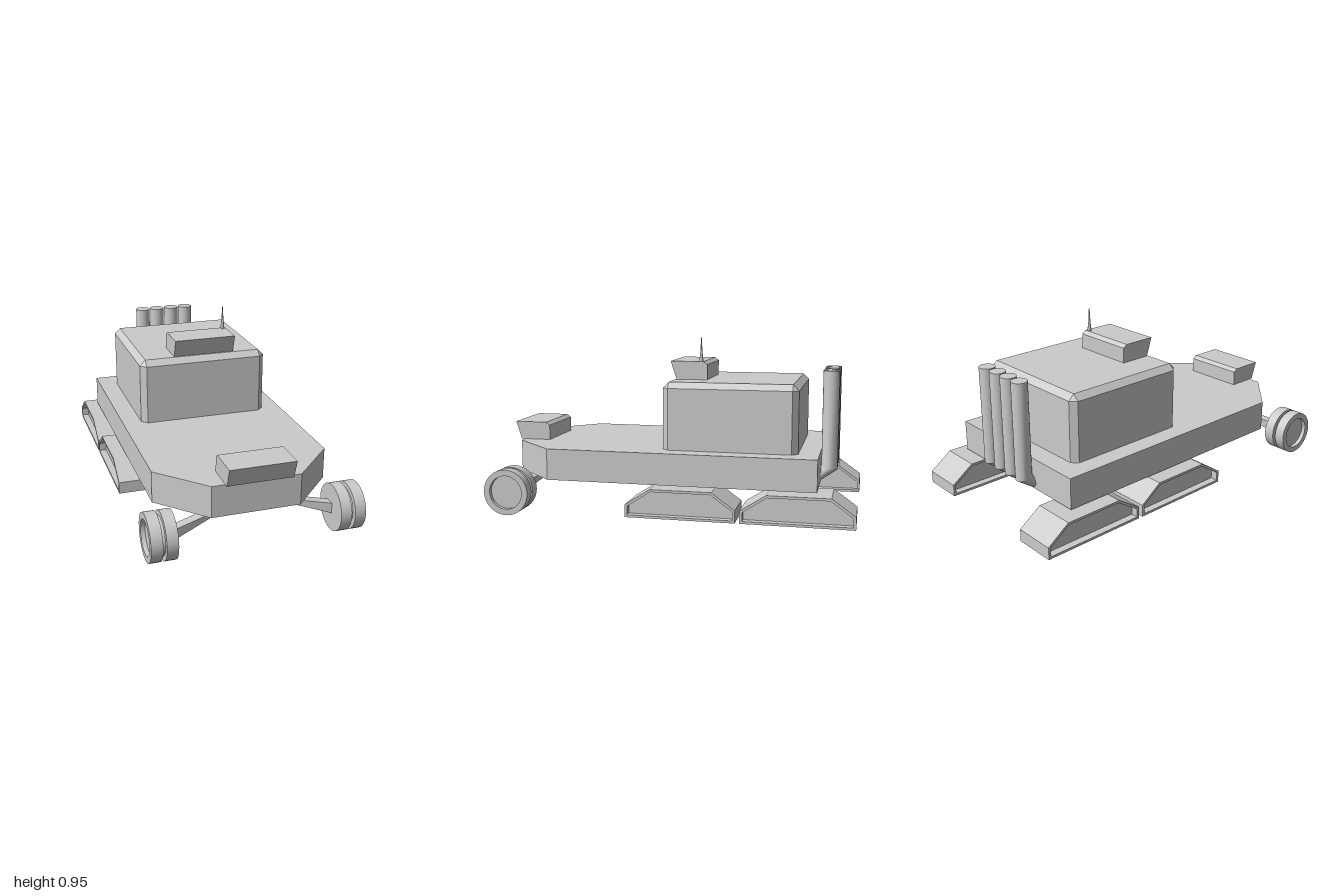
import * as THREE from 'three';
import { toCreasedNormals } from 'three/addons/utils/BufferGeometryUtils.js';

const material = new THREE.MeshStandardMaterial({ color: 0xcccccc, side: THREE.DoubleSide });

function add(parent, name, geometry, x = 0, y = 0, z = 0) {
  const mesh = new THREE.Mesh(geometry, material);
  mesh.name = name;
  mesh.position.set(x, y, z);
  parent.add(mesh);
  return mesh;
}

const shapeOf = pts => new THREE.Shape(pts.map(p => new THREE.Vector2(...p)));

// Side profile of (z, y) points, extruded along x and centred on it
function sideExtrude(pts, width, hole) {
  const shape = shapeOf(pts);
  if (hole) shape.holes.push(shapeOf(hole));
  return new THREE.ExtrudeGeometry(shape, { depth: width, bevelEnabled: false })
    .translate(0, 0, -width / 2).rotateY(-Math.PI / 2);
}

// Skin over equal-length rings of [x, y, z], capped at both ends
function loft(rings, crease = 0.5) {
  const n = rings[0].length, index = [];
  for (let r = 0; r < rings.length - 1; r++) {
    for (let i = 0; i < n; i++) {
      const a = r * n + i, b = r * n + (i + 1) % n;
      index.push(a, b, b + n, a, b + n, a + n);
    }
  }
  const last = (rings.length - 1) * n;
  for (let i = 1; i < n - 1; i++) {
    index.push(0, i + 1, i, last, last + i, last + i + 1);
  }
  const g = new THREE.BufferGeometry();
  g.setAttribute('position', new THREE.Float32BufferAttribute(rings.flat(2), 3));
  g.setIndex(index);
  return toCreasedNormals(g, crease);
}

// Flat deck with a tapered nose
function hull() {
  const outline = [[-0.47, 0.8], [0.47, 0.8], [0.47, -0.65], [0.235, -0.893], [-0.235, -0.893], [-0.47, -0.65]];
  return new THREE.ExtrudeGeometry(shapeOf(outline), { depth: 0.17, bevelEnabled: false })
    .rotateX(-Math.PI / 2);
}

// Box with chamfered upright corners and a chamfered top edge
function cabin() {
  const w = 0.365, z0 = -0.69, z1 = 0.035, c = 0.032;
  const ring = (y, top) => {
    const x = top ? w - c : w, a = top ? z0 + c : z0, b = top ? z1 - c : z1;
    const xi = w - c, ai = z0 + c, bi = z1 - c;
    return [[xi, y, b], [x, y, bi], [x, y, ai], [xi, y, a], [-xi, y, a], [-x, y, ai], [-x, y, bi], [-xi, y, b]];
  };
  return loft([ring(0.36, false), ring(0.692, false), ring(0.724, true)], 0.1);
}

// Track pod: a full-width rim around a recessed core
const podOuter = [[-0.293, 0.025], [0.293, 0.025], [0.293, 0.092], [0.157, 0.18], [-0.17, 0.18], [-0.293, 0.092]];
const podInner = [[-0.279, 0.038], [0.279, 0.038], [0.279, 0.085], [0.152, 0.167], [-0.165, 0.167], [-0.279, 0.085]];

function trackPod() {
  const pod = new THREE.Group();
  pod.name = 'trackPod';
  add(pod, 'trackRim', sideExtrude(podOuter, 0.23, podInner));
  add(pod, 'trackCore', sideExtrude(podInner, 0.15));
  return pod;
}

// Twin wheel with a groove and a dished outer face; outer side along +axis
function wheel() {
  const pts = [[0, -0.068], [0.125, -0.068], [0.125, -0.009], [0.1, -0.009], [0.1, 0.009],
    [0.125, 0.009], [0.125, 0.068], [0.092, 0.068], [0.092, 0.045], [0, 0.045]];
  const g = new THREE.LatheGeometry(pts.map(p => new THREE.Vector2(...p)), 32);
  return toCreasedNormals(g, 0.5).rotateZ(-Math.PI / 2);
}

// Wedge strut that thickens towards the wheel
function arm(side) {
  const section = (x, y0, y1, z) =>
    [[x, y0, z + 0.027], [x, y0, z - 0.027], [x, y1, z - 0.027], [x, y1, z + 0.027]];
  const g = [section(0.115, 0.184, 0.192, 0.775), section(0.44, 0.093, 0.152, 0.868)];
  if (side < 0) {
    g.forEach(ring => { ring.forEach(p => { p[0] *= -1; }); ring.reverse(); });
  }
  return loft(g, 0.1);
}

// Upright exhaust whose foot bends forward into the hull
function exhaust() {
  const n = 24, r = 0.043;
  const ring = fn => Array.from({ length: n }, (_, i) => {
    const t = i / n * Math.PI * 2;
    return fn(Math.sin(t), Math.cos(t));
  });
  return loft([
    ring((s, c) => [s * r, 0.222 + c * 0.032, -0.797 + c * 0.003]),
    ring((s, c) => [s * r, 0.264 + c * 0.014, -0.843 + c * r]),
    ring((s, c) => [s * r, 0.785, -0.843 + c * r]),
  ]);
}

export function createModel() {
  const model = new THREE.Group();
  model.name = 'crawlerVehicle';
  add(model, 'hull', hull(), 0, 0.19, 0);
  add(model, 'cabin', cabin());

  // Lamp boxes with a raked front and a chamfered rear edge
  const lamp = [[0, 0], [0.172, 0], [0.205, 0.1], [0.022, 0.1], [0, 0.083]];
  add(model, 'noseLampBox', sideExtrude(lamp, 0.348), 0.01, 0.36, 0.743);
  add(model, 'roofLampBox', sideExtrude(lamp, 0.348), 0.01, 0.724, -0.177);

  // Antenna
  const mast = [[0, 0], [0.012, 0], [0.006, 0.05], [0.002, 0.13], [0, 0.131]];
  add(model, 'antenna', new THREE.LatheGeometry(mast.map(p => new THREE.Vector2(...p)), 10), 0.165, 0.824, -0.14);

  // Exhaust stack
  for (let i = 0; i < 4; i++) add(model, 'exhaustPipe', exhaust(), -0.14 + i * 0.0935, 0, 0);

  // Running gear on both sides
  for (const side of [1, -1]) {
    for (const z of [-0.707, -0.097]) {
      const pod = trackPod();
      pod.position.set(side * 0.425 - 0.005, 0, z);
      model.add(pod);
    }
    const w = add(model, 'frontWheel', wheel(), side * 0.492 - 0.003, 0.127, side > 0 ? 0.857 : 0.873);
    if (side < 0) w.rotation.y = Math.PI;
    add(model, 'wheelArm', arm(side), 0, 0, side > 0 ? -0.02 : 0);
  }
  return model;
}
